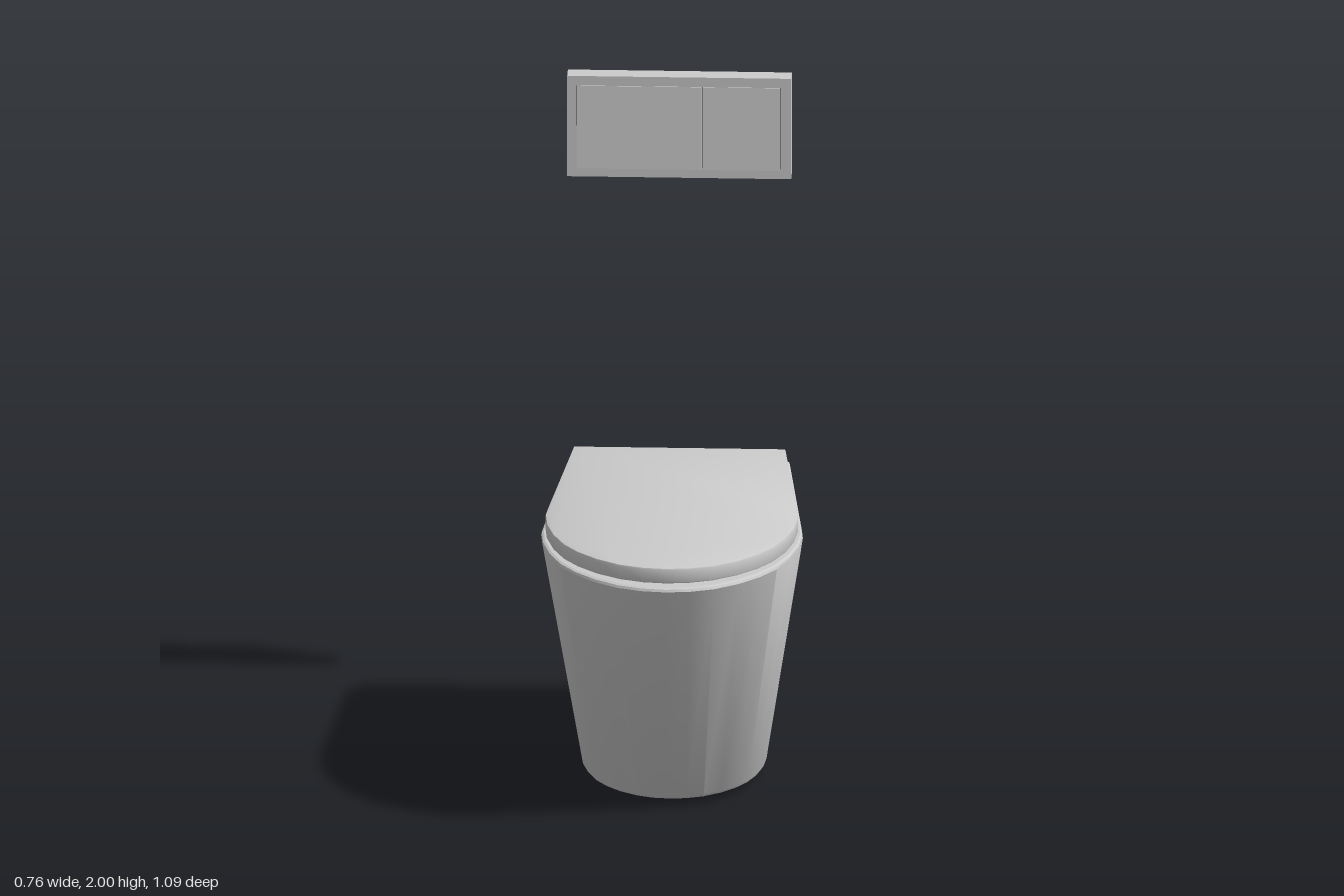
import * as THREE from 'three';
import { toCreasedNormals } from 'three/addons/utils/BufferGeometryUtils.js';

const BACK = -0.545;
// Half of the rim outline as [x, z], from the back corner to the front tip
const half = [
  [0.318, BACK], [0.374, 0], [0.38, 0.07], [0.372, 0.16], [0.35, 0.25], [0.315, 0.335],
  [0.27, 0.402], [0.21, 0.463], [0.14, 0.51], [0.07, 0.535], [0, 0.543],
];
const outline = [...half, ...half.slice(0, -1).reverse().map(([x, z]) => [-x, z])];

// Outline scaled about the middle of its back edge, which is placed at z = back
const fit = (sx, sz, back) => outline.map(([x, z]) => [x * sx, back + (z - BACK) * sz]);

const toShape = (points) => new THREE.Shape(points.map(([x, z]) => new THREE.Vector2(x, -z)));

// Skin through rings of points, listed from bottom to top
function loft(rings) {
  const n = rings[0].length, index = [];
  for (let r = 0; r < rings.length - 1; r++) {
    for (let i = 0; i < n - 1; i++) {
      const a = r * n + i, b = a + n;
      index.push(a, b, a + 1, a + 1, b, b + 1);
    }
  }
  const g = new THREE.BufferGeometry();
  g.setAttribute('position', new THREE.Float32BufferAttribute(rings.flat(2), 3));
  g.setIndex(index);
  return toCreasedNormals(g, 0.6);
}

function rect(target, x0, x1, y0, y1) {
  target.moveTo(x0, y0);
  target.lineTo(x1, y0);
  target.lineTo(x1, y1);
  target.lineTo(x0, y1);
  target.closePath();
  return target;
}

export function createModel() {
  const model = new THREE.Group();
  const solid = new THREE.MeshStandardMaterial({ color: 0xcccccc });
  const thin = new THREE.MeshStandardMaterial({ color: 0xcccccc, side: THREE.DoubleSide });
  const add = (name, geometry, material = solid, parent = model) => {
    const mesh = new THREE.Mesh(geometry, material);
    mesh.name = name;
    parent.add(mesh);
    return mesh;
  };

  // Pedestal: tapered skin, open at the back and below, with a turned-in foot
  const footY = (z) => 0.022 * THREE.MathUtils.clamp((z + 0.525) / 0.4, 0, 1);
  const foot = (s, lift) => fit(s, s, -0.525).map(([x, z]) => [x, footY(z) + lift, z]);
  const level = (s, sz, y) => fit(s, sz, BACK).map(([x, z]) => [x, y, z]);
  add('pedestal', loft([
    foot(0.64, 0), foot(0.69, 0), foot(0.705, 0.012),
    level(1, 1, 0.775), level(0.995, 0.997, 0.782), level(0.98, 0.99, 0.785),
  ]), thin);

  // Flat top of the pedestal
  const top = new THREE.ShapeGeometry(toShape(fit(0.98, 0.99, BACK)));
  top.rotateX(-Math.PI / 2).translate(0, 0.785, 0);
  add('pedestalTop', top, thin);

  // Lid with softened edges
  const bevel = 0.006;
  const lid = new THREE.ExtrudeGeometry(toShape(fit(0.95, 0.929, -0.484)), {
    depth: 0.048 - 2 * bevel, bevelEnabled: true,
    bevelSize: bevel, bevelThickness: bevel, bevelSegments: 2,
  });
  lid.rotateX(-Math.PI / 2).translate(0, 0.797 + bevel, 0);
  add('lid', toCreasedNormals(lid, 0.6));

  // Hinges behind the lid
  for (const side of [-1, 1]) {
    const hinge = new THREE.Group();
    hinge.name = side > 0 ? 'leftHinge' : 'rightHinge';
    hinge.position.set(side * 0.168, 0.802, -0.505);
    const pin = new THREE.CylinderGeometry(0.014, 0.014, 0.042, 16).rotateZ(Math.PI / 2);
    add('hingePin', pin, solid, hinge);
    add('hingeFoot', new THREE.BoxGeometry(0.042, 0.016, 0.03).translate(0, -0.009, 0.012), solid, hinge);
    model.add(hinge);
  }

  // Flush plate: open-backed frame, front panel and two sloping buttons
  const plate = new THREE.Group();
  plate.name = 'flushPlate';
  model.add(plate);
  const buttons = [['largeButton', -0.297, 0.064], ['smallButton', 0.069, 0.293]];
  const y0 = 1.72, y1 = 1.97;

  const frame = rect(new THREE.Shape(), -0.325, 0.325, 1.69, 2);
  frame.holes.push(rect(new THREE.Path(), -0.321, 0.321, 1.694, 1.996));
  add('plateFrame', new THREE.ExtrudeGeometry(frame, { depth: 0.053, bevelEnabled: false })
    .translate(0, 0, -0.51), solid, plate);

  const panel = rect(new THREE.Shape(), -0.325, 0.325, 1.69, 2);
  for (const [, x0, x1] of buttons) {
    panel.holes.push(rect(new THREE.Path(), x0 - 0.001, x1 + 0.001, y0 - 0.002, y1 + 0.001));
  }
  add('platePanel', new THREE.ExtrudeGeometry(panel, { depth: 0.006, bevelEnabled: false })
    .translate(0, 0, -0.462), solid, plate);

  for (const [name, x0, x1] of buttons) {
    const g = new THREE.BoxGeometry(x1 - x0, y1 - y0, 0.006);
    g.translate((x0 + x1) / 2, (y0 + y1) / 2, -0.459);
    // Push the lower front edge forward
    const p = g.attributes.position;
    for (let i = 0; i < p.count; i++) {
      if (p.getZ(i) > -0.459 && p.getY(i) < 1.8) p.setZ(i, -0.442);
    }
    g.computeVertexNormals();
    add(name, g, solid, plate);
  }
  return model;
}
